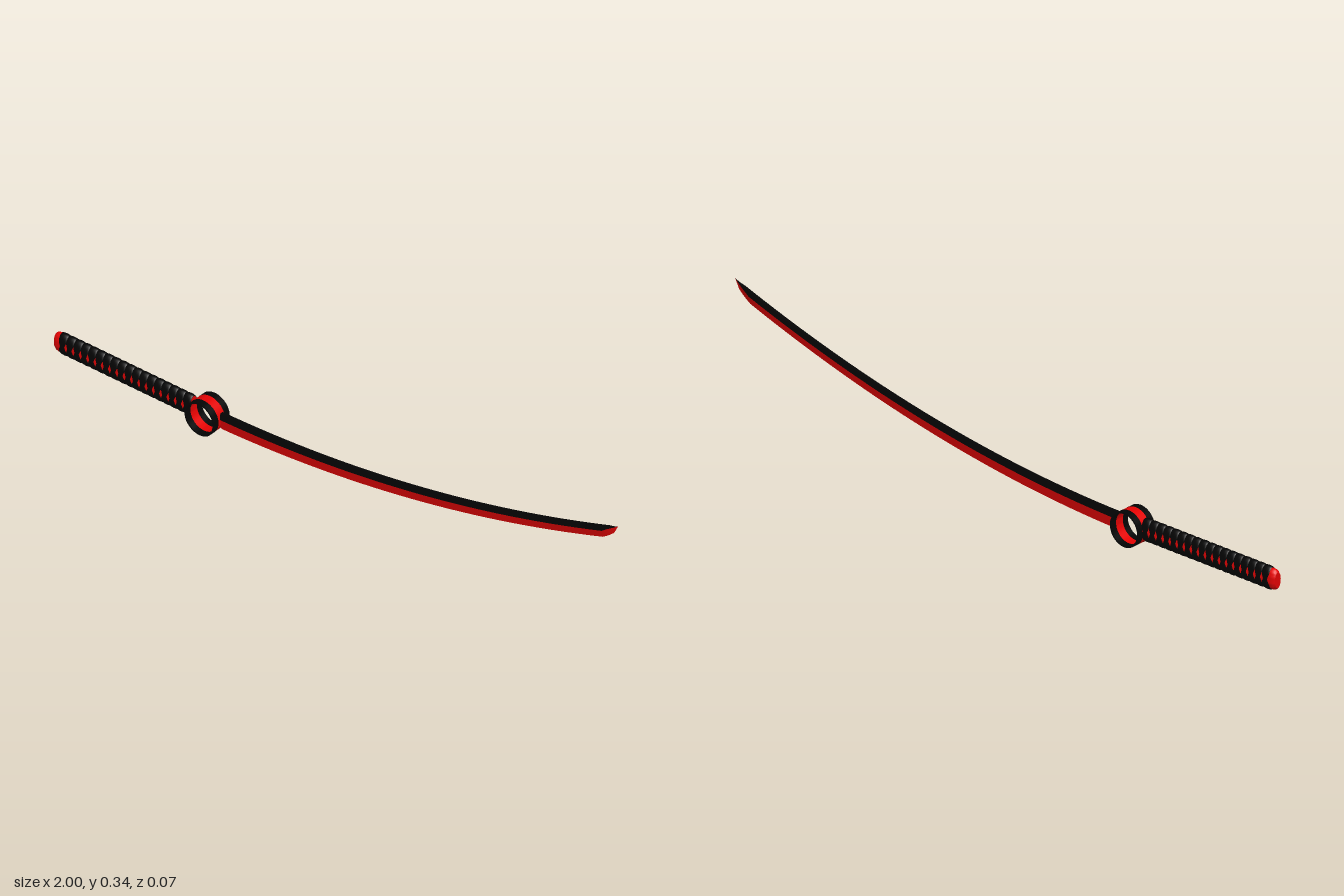
import * as THREE from 'three';
import { toCreasedNormals } from 'three/addons/utils/BufferGeometryUtils.js';

const black = new THREE.MeshStandardMaterial({ color: 0x040404 });
black.name = 'black';
const red = new THREE.MeshStandardMaterial({ color: 0xe80303 });
red.name = 'red';

const RING_X = -0.464, RING_Y = 0.0525, RING_R = 0.0525;
const GRIP_Y = 0.059;

function addMesh(parent, name, geometry, material) {
  const mesh = new THREE.Mesh(geometry, material);
  mesh.name = name;
  parent.add(mesh);
  return mesh;
}

function lathe(points, segments) {
  return new THREE.LatheGeometry(points.map(([r, y]) => new THREE.Vector2(r, y)), segments);
}

// Hollow band of the ring guard between two depths
function ringBand(z0, z1, outer, inner) {
  const g = lathe([[outer, z0], [outer, z1], [inner, z1], [inner, z0], [outer, z0]], 48);
  g.rotateX(Math.PI / 2);
  return toCreasedNormals(g, 0.6);
}

// Handle: red oval core with a row of black cord wraps
function createHandle() {
  const handle = new THREE.Group();
  handle.name = 'handle';
  handle.position.y = GRIP_Y;

  const core = lathe([[0, -1], [0.75, -1], [0.95, -0.994], [1, -0.985], [1, -0.512], [0, -0.512]], 28);
  core.rotateZ(-Math.PI / 2);
  core.scale(1, 0.032, 0.016);
  addMesh(handle, 'handleCore', toCreasedNormals(core, 0.7), red);

  const count = 18, start = -0.98, pitch = (-0.512 - start) / count, h = pitch / 2;
  const wrap = lathe([[0.86, -h], [0.93, -h], [0.98, -h * 0.6], [1, 0], [0.98, h * 0.6], [0.93, h], [0.86, h]], 40);
  wrap.rotateZ(-Math.PI / 2);
  // The cords narrow at the sides, leaving small diamonds of core between them
  const p = wrap.attributes.position;
  for (let i = 0; i < p.count; i++) {
    p.setX(i, p.getX(i) * (0.55 + 0.46 * Math.min(1, Math.abs(p.getY(i)) / 0.45)));
  }
  wrap.scale(1, 0.036, 0.018);
  wrap.computeVertexNormals();
  for (let i = 0; i < count; i++) {
    addMesh(handle, 'cordWrap', wrap, black).position.x = start + pitch * (i + 0.5);
  }
  return handle;
}

// Open ring guard: red middle with black rims
function createGuard() {
  const guard = new THREE.Group();
  guard.name = 'ringGuard';
  guard.position.set(RING_X, RING_Y, 0);
  const half = 0.014;
  addMesh(guard, 'guardBand', ringBand(-half, half, RING_R - 0.0003, RING_R - 0.0045), red);
  addMesh(guard, 'guardRimFront', ringBand(half, 0.034, RING_R, RING_R - 0.0048), black);
  addMesh(guard, 'guardRimBack', ringBand(-0.034, -half, RING_R, RING_R - 0.0048), black);
  return guard;
}

// Blade: five-sided sections swept along a gentle upward curve
function createBlade() {
  const blade = new THREE.Group();
  blade.name = 'blade';
  const edgeY = x => 0.026 + 0.028 * (x + 0.4) + 0.118 * (x + 0.4) ** 2;
  const spineY = x => edgeY(x) + 0.054 - 0.0115 * (x + 0.4);
  const section = (x, top, mid, bottom, w) => [
    [x, top, -w * 0.8], [x, top, w * 0.8], [x, mid, w], [x, bottom, 0], [x, mid, -w],
  ];

  const sections = [];
  const steps = 30, x0 = -0.413, x1 = 0.945;
  for (let i = 0; i <= steps; i++) {
    const x = x0 + (x1 - x0) * i / steps, top = spineY(x), bottom = edgeY(x);
    sections.push(section(x, top, bottom + (top - bottom) * 0.6, bottom, 0.006));
  }
  // Pointed tip
  sections.push(section(0.965, spineY(0.965), 0.315, 0.291, 0.006));
  sections.push(section(0.985, spineY(0.985), 0.327, 0.308, 0.003));
  sections.push(section(1, 0.337, 0.337, 0.337, 0));

  const faces = { upper: [], lower: [] };
  const quad = (list, a, b, c, d) => list.push(...a, ...b, ...c, ...a, ...c, ...d);
  for (let s = 0; s < sections.length - 1; s++) {
    const a = sections[s], b = sections[s + 1];
    for (let i = 0; i < 5; i++) {
      const j = (i + 1) % 5;
      quad(i === 2 || i === 3 ? faces.lower : faces.upper, a[i], a[j], b[j], b[i]);
    }
  }
  // Closing face at the guard
  const e = sections[0];
  quad(faces.upper, e[0], e[4], e[2], e[1]);
  faces.lower.push(...e[4], ...e[3], ...e[2]);

  for (const [key, name, material] of [['upper', 'bladeSpine', black], ['lower', 'bladeEdge', red]]) {
    const g = new THREE.BufferGeometry();
    g.setAttribute('position', new THREE.Float32BufferAttribute(faces[key], 3));
    g.computeVertexNormals();
    addMesh(blade, name, toCreasedNormals(g, 0.15), material);
  }
  return blade;
}

export function createModel() {
  const model = new THREE.Group();
  model.name = 'curvedSword';
  model.add(createHandle(), createGuard(), createBlade());
  return model;
}
